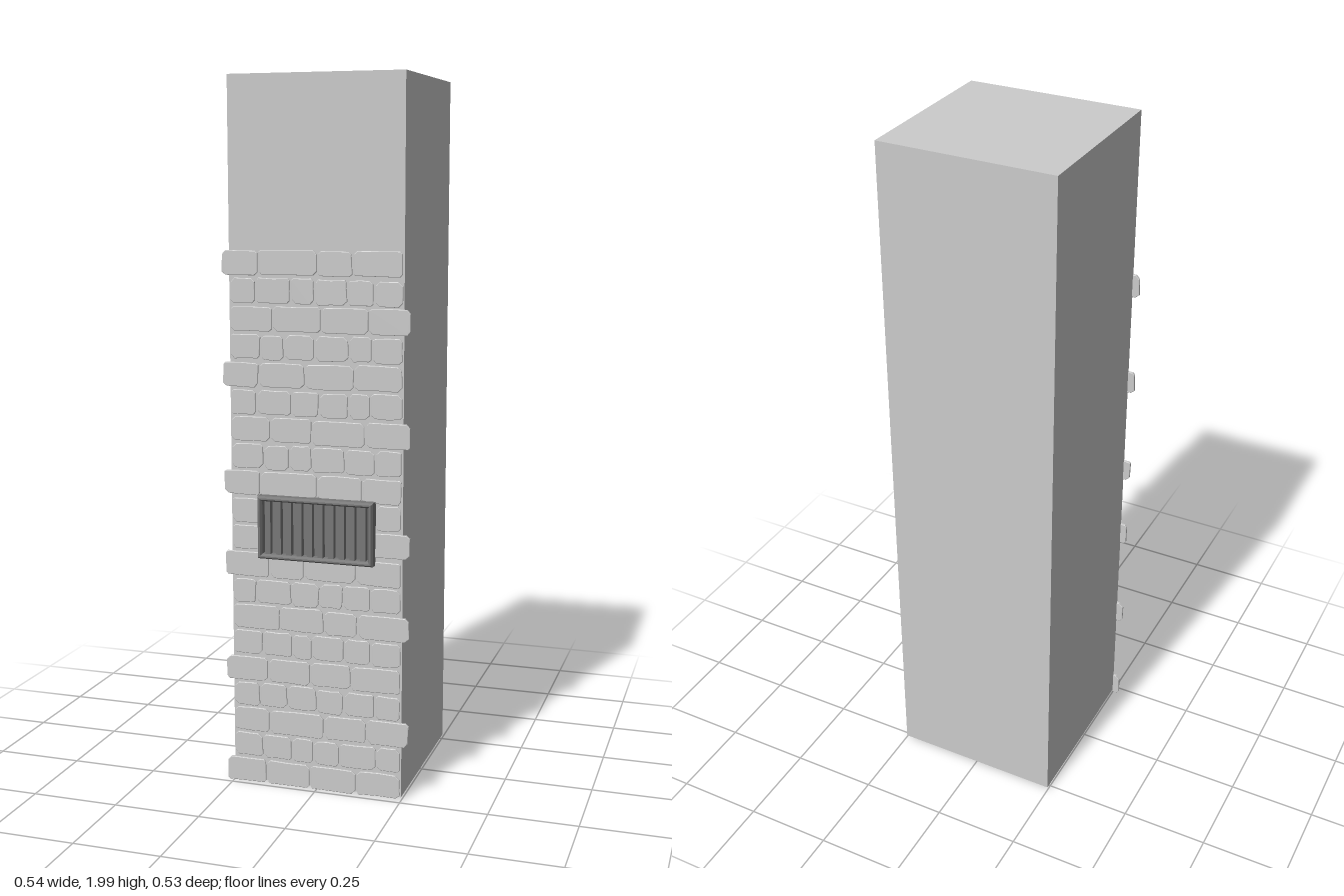
import * as THREE from 'three';

const stone = new THREE.MeshStandardMaterial({ color: 0xcccccc, flatShading: true });
const iron = new THREE.MeshStandardMaterial({ color: 0x777777, flatShading: true });

// Small seeded random generator for the worn brick outlines
let seed = 7;
const rand = () => (seed = (seed * 16807) % 2147483647) / 2147483647;
const jitter = (a) => (rand() - 0.5) * 2 * a;

function add(parent, name, geometry, material, x = 0, y = 0, z = 0) {
  const mesh = new THREE.Mesh(geometry, material);
  mesh.name = name;
  mesh.position.set(x, y, z);
  parent.add(mesh);
  return mesh;
}

// One thin brick with chipped corners and a bevelled face
function brickGeometry(x0, x1, y0, y1) {
  const c = () => 0.004 + rand() * 0.008;
  const j = () => jitter(0.0015);
  const [a, b, d, e] = [c(), c(), c(), c()];
  const shape = new THREE.Shape([
    [x0 + a, y0 + j()], [(x0 + x1) / 2, y0 + j()], [x1 - b, y0 + j()],
    [x1 + j(), y0 + b], [x1 + j(), y1 - d],
    [x1 - d, y1 + j()], [(x0 + x1) / 2, y1 + j()], [x0 + e, y1 + j()],
    [x0 + j(), y1 - e], [x0 + j(), y0 + a],
  ].map(([x, y]) => new THREE.Vector2(x, y)));
  return new THREE.ExtrudeGeometry(shape, {
    depth: 0.006, bevelEnabled: true, bevelThickness: 0.001,
    bevelSize: 0.0015, bevelOffset: -0.0015, bevelSegments: 1,
  });
}

// Courses alternate long and short bricks; every other long course oversails one edge
function brickPanel(parent, top, rows) {
  const pitch = 0.0765, gap = 0.006;
  for (let r = 0; r < rows; r++) {
    const long = r % 2 === 0;
    const left = r % 4 === 0 ? -0.268 : -0.244;
    const right = r % 4 === 2 ? 0.268 : 0.244;
    const count = long ? 4 : 6;
    const step = (right - left) / count;
    const cuts = [left];
    for (let i = 1; i < count; i++) cuts.push(left + step * i + jitter(step * 0.18));
    cuts.push(right);
    const y1 = top - r * pitch, y0 = y1 - pitch + gap + 0.003;
    for (let i = 0; i < count; i++) {
      const dy = jitter(0.002);
      const x0 = cuts[i] + (i ? gap / 2 : 0);
      const x1 = cuts[i + 1] - (i < count - 1 ? gap / 2 : 0);
      add(parent, 'brick', brickGeometry(x0, x1, Math.max(y0 + dy, 0.002), y1 + dy), stone, 0, 0, 0.227);
    }
  }
}

function rect(Type, w, h) {
  const p = new Type();
  p.moveTo(-w / 2, -h / 2);
  p.lineTo(w / 2, -h / 2);
  p.lineTo(w / 2, h / 2);
  p.lineTo(-w / 2, h / 2);
  p.closePath();
  return p;
}

function makeGrille() {
  const grille = new THREE.Group();
  grille.name = 'ventGrille';
  const w = 0.334, h = 0.178, rim = 0.014, bars = 10;

  // Chamfered rectangular frame
  const outline = rect(THREE.Shape, w, h);
  outline.holes.push(rect(THREE.Path, w - 2 * rim, h - 2 * rim));
  const frame = new THREE.ExtrudeGeometry(outline, {
    depth: 0.026, bevelEnabled: true, bevelThickness: 0.008,
    bevelSize: 0.005, bevelOffset: -0.005, bevelSegments: 1,
  });
  add(grille, 'grilleFrame', frame, iron, 0, 0, 0.008);

  // Recessed back plate and upright bars
  add(grille, 'grilleBack', new THREE.BoxGeometry(w - rim, h - rim, 0.006), iron, 0, 0, 0.012);
  const span = w - 2 * rim;
  for (let i = 0; i < bars; i++) {
    const x = -span / 2 + ((i + 0.5) * span) / bars;
    add(grille, 'grilleBar', new THREE.BoxGeometry(0.015, h - rim, 0.018), iron, x, 0, 0.024);
  }
  grille.position.set(0.005, 0.769, 0.222);
  return grille;
}

export function createModel() {
  seed = 7;
  const model = new THREE.Group();
  model.name = 'brickFacedPillar';

  // Plain square pillar
  add(model, 'pillar', new THREE.BoxGeometry(0.497, 1.985, 0.496), stone, 0, 1.0075, -0.019);

  // Two stacked brick panels on the front
  const bricks = new THREE.Group();
  bricks.name = 'brickFacing';
  brickPanel(bricks, 1.533, 11);
  brickPanel(bricks, 0.689, 9);
  model.add(bricks);

  model.add(makeGrille());
  return model;
}
